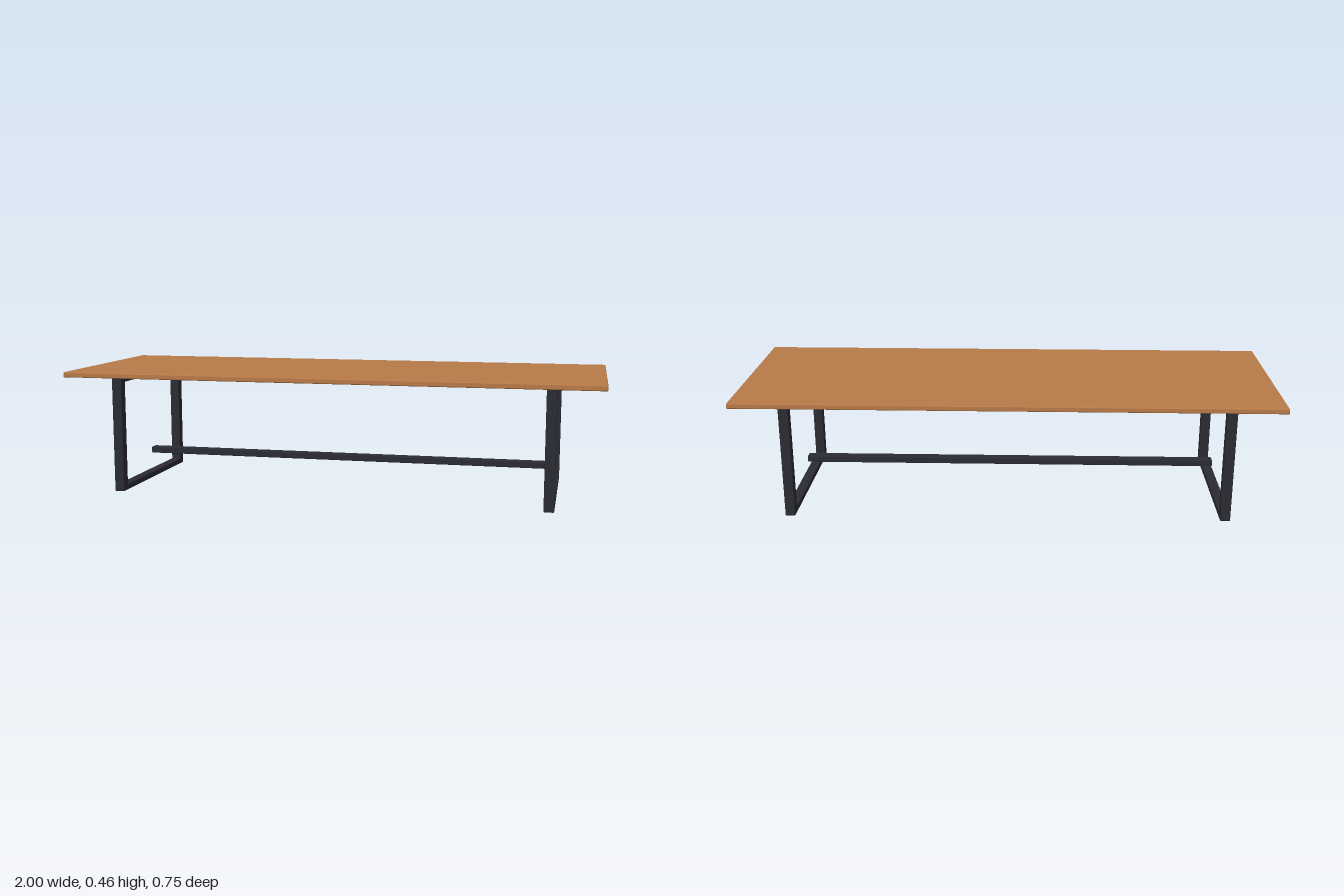
import * as THREE from 'three';
import { RoundedBoxGeometry } from 'three/addons/geometries/RoundedBoxGeometry.js';

export function createModel() {
  const model = new THREE.Group();
  model.name = 'table';

  const wood = new THREE.MeshStandardMaterial({ color: 0xb87a48 });
  wood.name = 'warm wood';
  const metal = new THREE.MeshStandardMaterial({ color: 0x2b2b33 });
  metal.name = 'dark metal';

  // Softly edged bar, placed by its centre
  const bar = (parent, name, material, size, position, radius = 0.003) => {
    const mesh = new THREE.Mesh(new RoundedBoxGeometry(...size, 2, radius), material);
    mesh.name = name;
    mesh.position.set(...position);
    parent.add(mesh);
  };

  // Table top
  bar(model, 'tableTop', wood, [2, 0.02, 0.746], [0, 0.4525, 0], 0.004);

  // Two rectangular leg frames
  for (const side of [1, -1]) {
    const frame = new THREE.Group();
    frame.name = side > 0 ? 'leftLegFrame' : 'rightLegFrame';
    frame.position.x = side * 0.8125;
    for (const end of [1, -1]) {
      bar(frame, end > 0 ? 'frontLeg' : 'backLeg', metal, [0.0375, 0.4425, 0.0375], [0, 0.22125, end * 0.29375]);
    }
    bar(frame, 'bottomRail', metal, [0.0375, 0.0225, 0.625], [0, 0.01125, 0]);
    bar(frame, 'topRail', metal, [0.0375, 0.0225, 0.625], [0, 0.43125, 0]);
    model.add(frame);
  }

  // Long stretcher between the frames
  bar(model, 'stretcher', metal, [1.6, 0.025, 0.0375], [0, 0.1125, 0]);

  return model;
}
